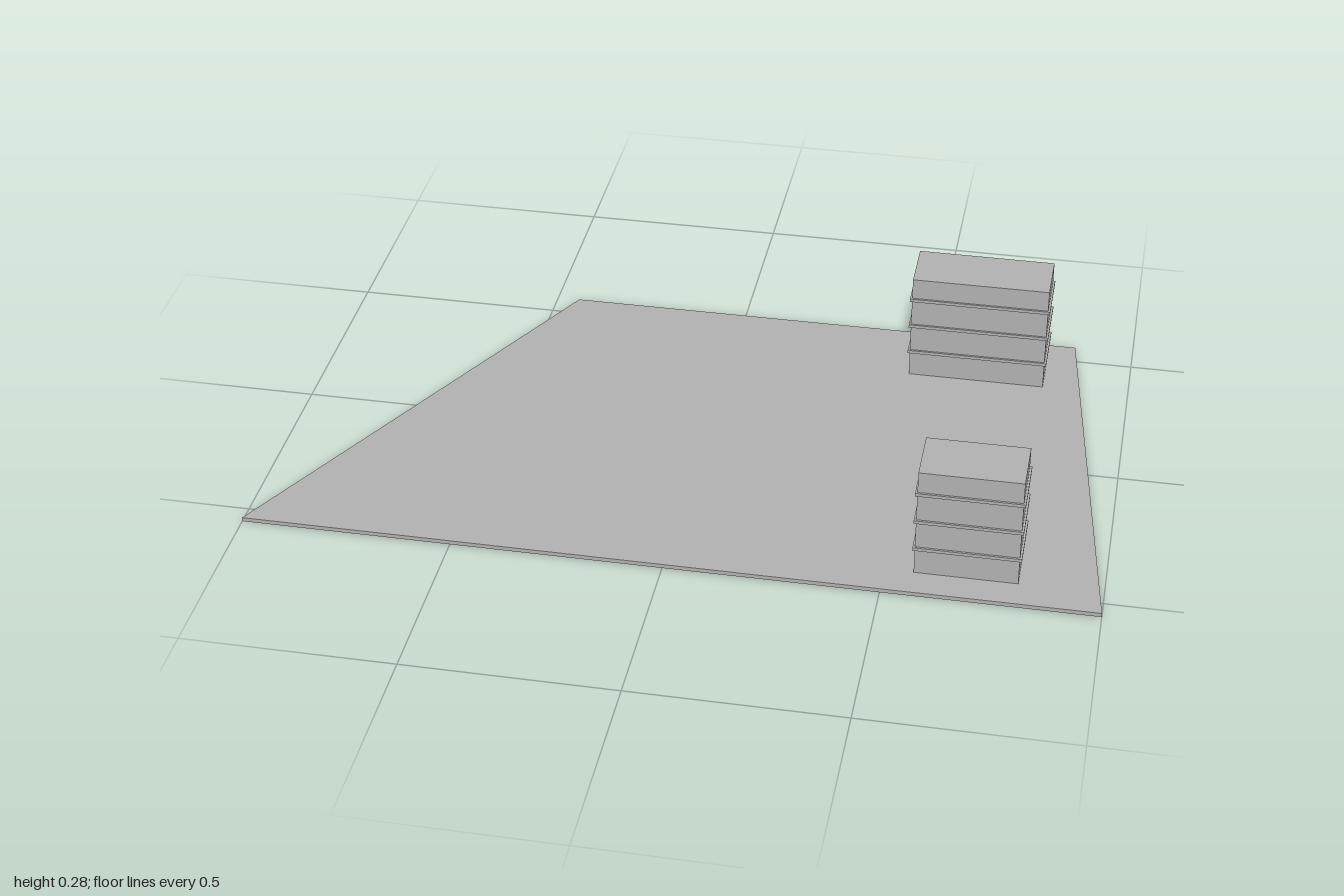
import * as THREE from 'three';

const BASE_TOP = 0.01;
const BLOCK_TOP = 0.285;

export function createModel() {
  const model = new THREE.Group();
  const grey = new THREE.MeshStandardMaterial({ color: 0xb2b2b2 });
  grey.name = 'plain grey';

  const addBox = (parent, name, w, h, d, y) => {
    const mesh = new THREE.Mesh(new THREE.BoxGeometry(w, h, d), grey);
    mesh.name = name;
    mesh.position.y = y;
    parent.add(mesh);
  };

  // Thin four-sided ground slab, drawn in plan (shape y = -z) and laid flat
  const plan = new THREE.Shape([[-1, -0.55], [1, -0.55], [0.855, 0.55], [-0.44, 0.55]]
    .map(([x, y]) => new THREE.Vector2(x, y)));
  const slabGeometry = new THREE.ExtrudeGeometry(plan, { depth: BASE_TOP, bevelEnabled: false });
  slabGeometry.rotateX(-Math.PI / 2);
  const slab = new THREE.Mesh(slabGeometry, grey);
  slab.name = 'groundSlab';
  model.add(slab);

  // Block with three projecting floor bands
  const addBuilding = (name, x, z, width, depth) => {
    const building = new THREE.Group();
    building.name = name;
    building.position.set(x, 0, z);
    addBox(building, 'block', width, BLOCK_TOP - BASE_TOP, depth, (BLOCK_TOP + BASE_TOP) / 2);
    [0.078, 0.153, 0.228].forEach((y, i) =>
      addBox(building, `floorBand${i + 1}`, width + 0.01, 0.008, depth + 0.01, y));
    model.add(building);
  };
  addBuilding('frontBuilding', 0.687, 0.403, 0.238, 0.143);
  addBuilding('backBuilding', 0.621, -0.423, 0.336, 0.143);

  return model;
}
